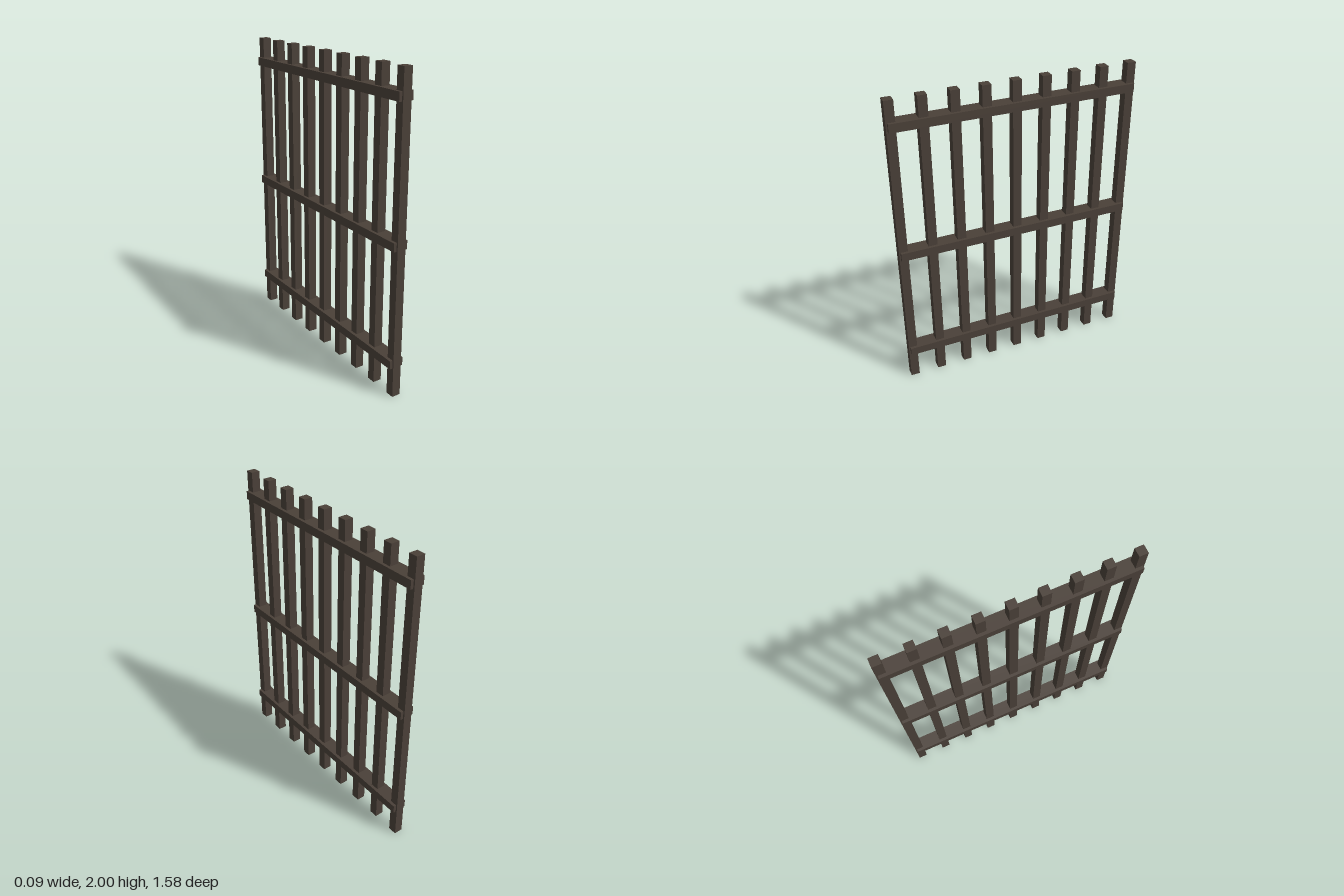
import * as THREE from 'three';

export function createModel() {
  const group = new THREE.Group();
  const iron = new THREE.MeshStandardMaterial({ color: 0x4a4038 });
  iron.name = 'darkIron';

  const addBox = (name, w, h, d, y, z) => {
    const mesh = new THREE.Mesh(new THREE.BoxGeometry(w, h, d), iron);
    mesh.name = name;
    mesh.position.set(0, y, z);
    group.add(mesh);
  };

  // Nine square upright bars
  const count = 9, spacing = 0.1905;
  for (let i = 0; i < count; i++) {
    addBox(`uprightBar${i + 1}`, 0.057, 2, 0.057, 1, (i - (count - 1) / 2) * spacing);
  }

  // Three cross rails, thicker than the bars and stopping just short of the ends
  const rails = { bottomRail: 0.222, middleRail: 0.984, topRail: 1.841 };
  for (const [name, y] of Object.entries(rails)) addBox(name, 0.095, 0.055, 1.562, y, 0);

  return group;
}
